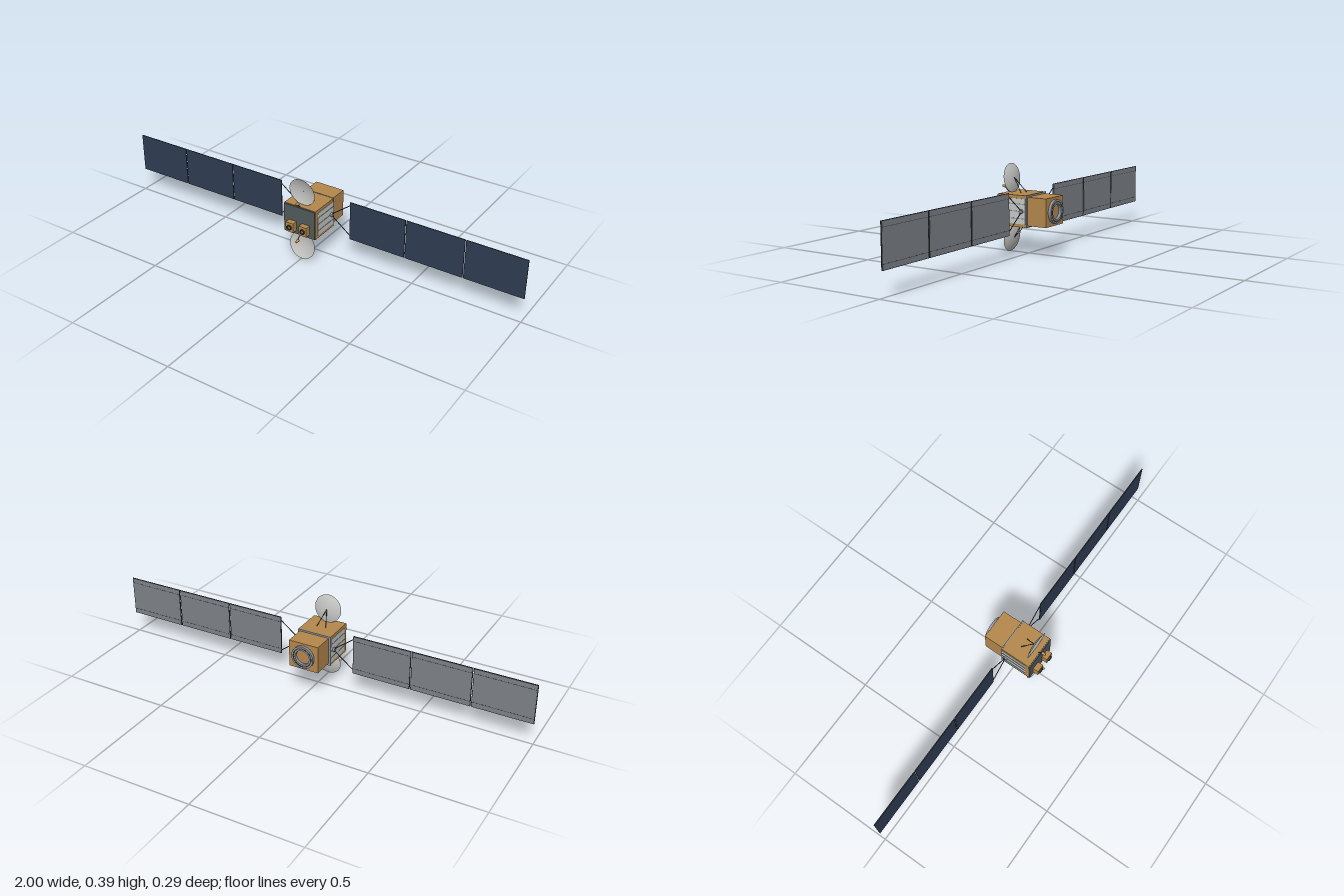
import * as THREE from 'three';

const mat = (name, color, double) => {
  const m = new THREE.MeshStandardMaterial({ color });
  m.name = name;
  if (double) m.side = THREE.DoubleSide;
  return m;
};

export function createModel() {
  const gold = mat('gold foil', 0xb5884c);
  const radiator = mat('radiator white', 0xc6c9c6);
  const steel = mat('steel grey', 0x8c929c);
  const slate = mat('slate grey', 0x525a5b);
  const dark = mat('dark grey', 0x343638);
  const cells = mat('solar blue', 0x2e3c53);
  const backing = mat('panel backing grey', 0x7d8288);
  const dishGrey = mat('dish grey', 0xc6c6c4, true);

  const model = new THREE.Group();
  model.name = 'satellite';
  const craft = new THREE.Group(); // origin at the body's mid height
  craft.name = 'spacecraft';
  craft.position.y = 0.1975;
  model.add(craft);

  const add = (parent, name, geometry, material, x = 0, y = 0, z = 0) => {
    const mesh = new THREE.Mesh(geometry, material);
    mesh.name = name;
    mesh.position.set(x, y, z);
    parent.add(mesh);
    return mesh;
  };
  const box = (parent, name, material, w, h, d, x, y, z) =>
    add(parent, name, new THREE.BoxGeometry(w, h, d), material, x, y, z);
  const rod = (parent, name, a, b, radius, material = dark) => {
    const from = new THREE.Vector3(...a), to = new THREE.Vector3(...b);
    const dir = to.clone().sub(from);
    const mesh = add(parent, name, new THREE.CylinderGeometry(radius, radius, dir.length(), 8), material);
    mesh.position.copy(from).add(to).multiplyScalar(0.5);
    mesh.quaternion.setFromUnitVectors(new THREE.Vector3(0, 1, 0), dir.normalize());
    return mesh;
  };
  const ring = (parent, name, material, outer, inner, depth, x, y, z) => {
    const shape = new THREE.Shape().absarc(0, 0, outer, 0, Math.PI * 2);
    shape.holes.push(new THREE.Path().absarc(0, 0, inner, 0, Math.PI * 2, true));
    const g = new THREE.ExtrudeGeometry(shape, { depth, bevelEnabled: false, curveSegments: 20 });
    return add(parent, name, g, material, x, y, z);
  };

  // Body
  box(craft, 'mainBody', gold, 0.16, 0.14, 0.144, 0, 0, 0.035);
  box(craft, 'rearBody', gold, 0.142, 0.126, 0.096, 0, 0, -0.083);
  box(craft, 'jointFrame', steel, 0.162, 0.142, 0.005, 0, 0, -0.0355);
  box(craft, 'frontPlate', slate, 0.158, 0.135, 0.006, 0, 0, 0.11);

  // Rear adapter ring
  ring(craft, 'adapterRing', steel, 0.053, 0.034, 0.013, 0, 0, -0.144);
  ring(craft, 'adapterGroove', dark, 0.046, 0.041, 0.001, 0, 0, -0.1446);

  // Paired front instruments
  for (const s of [-1, 1]) {
    box(craft, 'instrumentBox', gold, 0.038, 0.045, 0.027, s * 0.034, -0.028, 0.1255);
    ring(craft, 'instrumentAperture', dark, 0.012, 0.008, 0.006, s * 0.034, -0.028, 0.139);
  }

  // Dish antennas with struts and feed horns, mirrored above and below
  const R = 0.065, tilt = 0.113;
  const profile = [];
  for (let i = 0; i <= 8; i++) {
    const r = Math.max(R * i / 8, 0.0001);
    profile.push(new THREE.Vector2(r, 0.012 * (r / R) ** 2));
  }
  for (const s of [-1, 1]) {
    const antenna = new THREE.Group();
    antenna.name = s > 0 ? 'upperAntenna' : 'lowerAntenna';
    antenna.scale.y = s;
    craft.add(antenna);
    const dish = add(antenna, 'dish', new THREE.LatheGeometry(profile, 32), dishGrey, 0, 0.1342, 0.0778);
    dish.rotation.x = Math.PI / 2 + tilt;
    for (const t of [-1, 1]) {
      rod(antenna, 'dishStrut', [0, 0.134, 0.077], [t * 0.022, 0.069, 0.027], 0.0016);
    }
    rod(antenna, 'feedArm', [0, 0.069, 0.105], [0, 0.091, 0.13], 0.002);
    const horn = add(antenna, 'feedHorn', new THREE.CylinderGeometry(0.0045, 0.0075, 0.018, 12), gold, 0, 0.0925, 0.13);
    horn.rotation.x = Math.PI / 2 - 0.12;
  }

  // Side radiators and solar wings
  for (const s of [-1, 1]) {
    box(craft, 'radiator', radiator, 0.003, 0.112, 0.122, s * 0.081, 0, 0.028);
    for (let i = -1; i <= 1; i++) {
      box(craft, 'heatPipe', steel, 0.003, 0.003, 0.122, s * 0.0825, i * 0.032, 0.028);
    }

    const wing = new THREE.Group();
    wing.name = s > 0 ? 'leftSolarWing' : 'rightSolarWing';
    wing.position.z = -0.0135;
    craft.add(wing);
    const hub = add(wing, 'wingHub', new THREE.CylinderGeometry(0.01, 0.01, 0.012, 6), steel, s * 0.086, 0, 0);
    hub.rotation.z = Math.PI / 2;
    for (const t of [-1, 1]) {
      rod(wing, 'yokeArm', [s * 0.088, t * 0.005, 0], [s * 0.182, t * 0.077, 0], 0.002);
    }
    for (let i = 0; i < 3; i++) {
      const x = s * (0.3145 + i * 0.2745), w = 0.271;
      box(wing, 'panelCore', dark, w, 0.184, 0.003, x, 0, 0);
      box(wing, 'solarCells', cells, w - 0.001, 0.183, 0.001, x, 0, 0.002);
      box(wing, 'panelBacking', backing, w - 0.006, 0.179, 0.001, x, 0, -0.002);
      for (const t of [-1, 1]) {
        box(wing, 'backSeam', dark, w - 0.006, 0.0015, 0.001, x, t * 0.068, -0.0024);
      }
    }
  }

  return model;
}
